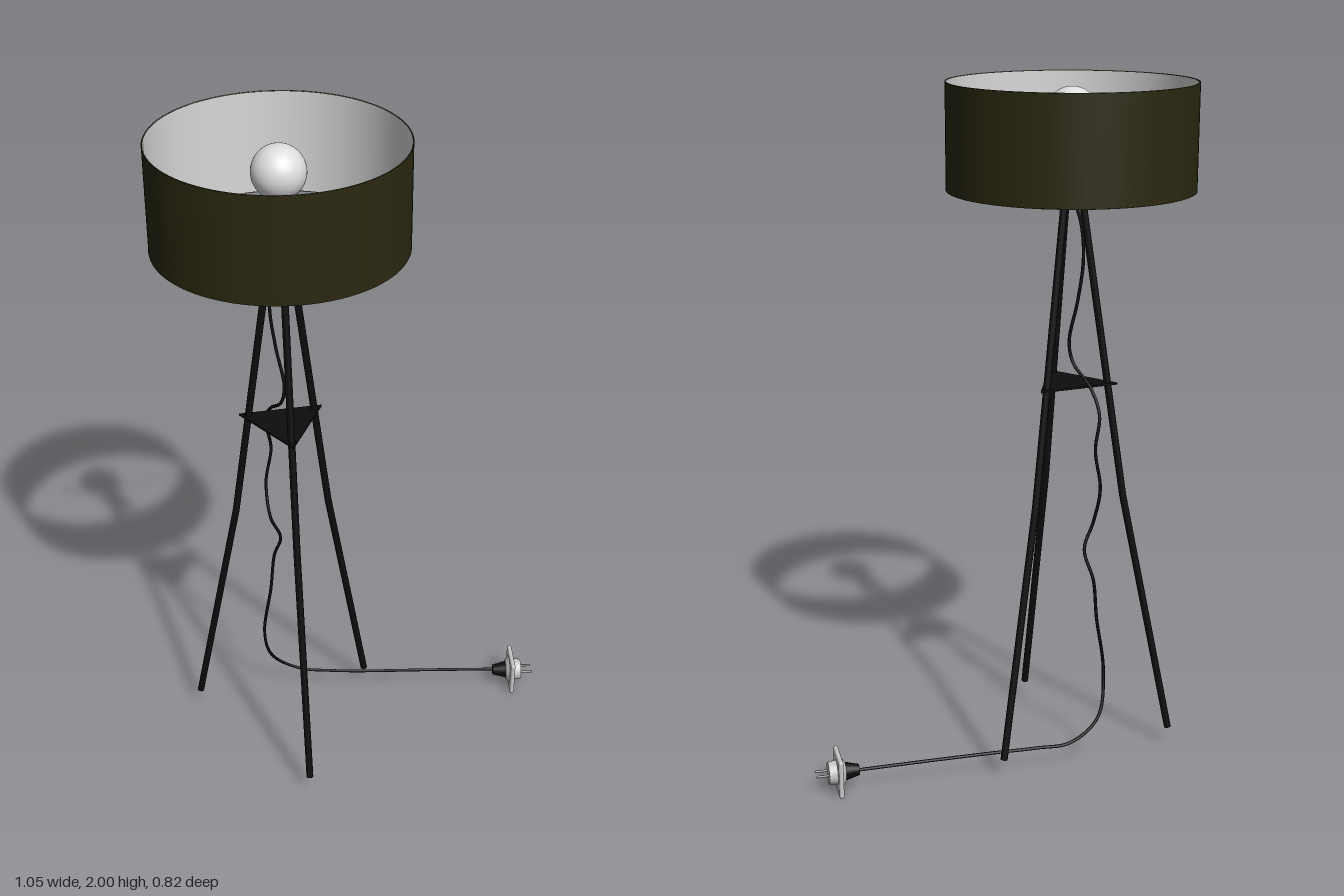
import * as THREE from 'three';
import { RoundedBoxGeometry } from 'three/addons/geometries/RoundedBoxGeometry.js';

const mat = (name, color, side = THREE.FrontSide) => {
  const m = new THREE.MeshStandardMaterial({ color, side });
  m.name = name;
  return m;
};

export function createModel() {
  const olive = mat('olive fabric', 0x2a2810);
  const black = mat('black metal', 0x0d0d0d);
  const lining = mat('white lining', 0xd8d8d8, THREE.DoubleSide);
  const glass = mat('frosted glass', 0xdedede);
  const steel = mat('grey steel', 0x8c8c8c);
  const plastic = mat('pale plastic', 0xc8c8c8);

  const model = new THREE.Group();
  model.name = 'tripodLamp';
  const lamp = new THREE.Group();
  lamp.name = 'lamp';
  lamp.position.set(-0.168, 0, 0.054);
  model.add(lamp);

  const add = (parent, name, geometry, material, x = 0, y = 0, z = 0) => {
    const m = new THREE.Mesh(geometry, material);
    m.name = name;
    m.position.set(x, y, z);
    parent.add(m);
    return m;
  };
  // Round rod between two points
  const rod = (parent, name, a, b, r, material, sides = 12) => {
    const d = b.clone().sub(a);
    const m = add(parent, name, new THREE.CylinderGeometry(r, r, d.length(), sides), material);
    m.position.copy(a).addScaledVector(d, 0.5);
    m.quaternion.setFromUnitVectors(new THREE.Vector3(0, 1, 0), d.normalize());
    return m;
  };

  // Drum shade: fabric outside, white inside, thin rim hoops
  add(lamp, 'shadeOutside', new THREE.CylinderGeometry(0.352, 0.352, 0.3, 96, 1, true), olive, 0, 1.85);
  add(lamp, 'shadeLining', new THREE.CylinderGeometry(0.349, 0.349, 0.3, 96, 1, true), lining, 0, 1.85);
  for (const y of [1.702, 1.998]) {
    add(lamp, 'shadeHoop', new THREE.TorusGeometry(0.3505, 0.002, 6, 96).rotateX(Math.PI / 2), olive, 0, y);
  }

  // Bulb, socket and hub
  add(lamp, 'bulb', new THREE.SphereGeometry(0.075, 40, 28), glass, 0, 1.91);
  add(lamp, 'socketCollar', new THREE.CylinderGeometry(0.036, 0.036, 0.04, 28), black, 0, 1.825);
  add(lamp, 'socket', new THREE.CylinderGeometry(0.027, 0.027, 0.07, 28), olive, 0, 1.775);
  add(lamp, 'hub', new THREE.CylinderGeometry(0.04, 0.034, 0.06, 28), black, 0, 1.715);

  // Three bent legs and three shade spokes
  for (let i = 0; i < 3; i++) {
    const a = Math.PI + (i * Math.PI * 2) / 3;
    const at = (r, y) => new THREE.Vector3(r * Math.cos(a), y, r * Math.sin(a));
    const leg = new THREE.Group();
    leg.name = 'leg';
    lamp.add(leg);
    rod(leg, 'upperLeg', at(0.028, 1.7), at(0.162, 0.8), 0.0105, black);
    rod(leg, 'lowerLeg', at(0.162, 0.8), at(0.314, 0.055), 0.0105, black);
    add(leg, 'legJoint', new THREE.SphereGeometry(0.0105, 12, 8), black).position.copy(at(0.162, 0.8));
    rod(lamp, 'shadeSpoke', at(0.03, 1.82), at(0.35, 1.703), 0.0025, steel, 8);
  }

  // Triangular brace plate
  const tri = new THREE.Shape([0, 1, 2].map((i) => {
    const a = Math.PI + (i * Math.PI * 2) / 3;
    return new THREE.Vector2(0.14 * Math.cos(a), 0.14 * Math.sin(a));
  }));
  add(lamp, 'bracePlate',
    new THREE.ExtrudeGeometry(tri, { depth: 0.006, bevelEnabled: false }).rotateX(-Math.PI / 2), black, 0, 1.137);

  // Hanging cable that runs along the floor to the plug
  const path = [
    [-0.17, 1.69, 0.054], [-0.198, 1.6, 0.052], [-0.205, 1.5, 0.052], [-0.19, 1.38, 0.052],
    [-0.167, 1.26, 0.053], [-0.18, 1.2, 0.045], [-0.235, 1.14, -0.005], [-0.264, 1.07, -0.04],
    [-0.255, 0.97, -0.056], [-0.27, 0.85, -0.045], [-0.25, 0.74, -0.022], [-0.226, 0.66, -0.04],
    [-0.255, 0.57, -0.056], [-0.265, 0.45, -0.046], [-0.288, 0.27, -0.037], [-0.276, 0.14, -0.08],
    [-0.2, 0.075, -0.124], [-0.1, 0.066, -0.155], [0, 0.064, -0.188], [0.2, 0.062, -0.262], [0.405, 0.058, -0.338],
  ].map((p) => new THREE.Vector3(...p));
  add(model, 'cable', new THREE.TubeGeometry(new THREE.CatmullRomCurve3(path), 240, 0.0048, 8), black);

  // Plug, pointing along its local +z
  const plug = new THREE.Group();
  plug.name = 'plug';
  plug.position.set(0.455, 0.058, -0.355);
  plug.rotation.y = Math.atan2(0.93, -0.36);
  model.add(plug);
  const round = (r1, r0, len) => new THREE.CylinderGeometry(r1, r0, len, 28).rotateX(Math.PI / 2);
  add(plug, 'strainRelief', round(0.028, 0.016, 0.045), black, 0, 0, -0.037);
  add(plug, 'plugBack', round(0.046, 0.03, 0.012), plastic, 0, 0, -0.012);
  add(plug, 'plugFlange', new RoundedBoxGeometry(0.114, 0.116, 0.014, 3, 0.006), plastic);
  add(plug, 'plugFace', round(0.032, 0.036, 0.026), plastic, 0, 0, 0.018);
  for (const s of [-1, 1]) {
    add(plug, 'plugPin', round(0.0035, 0.0035, 0.045), steel, s * 0.016, 0, 0.045);
  }
  return model;
}
